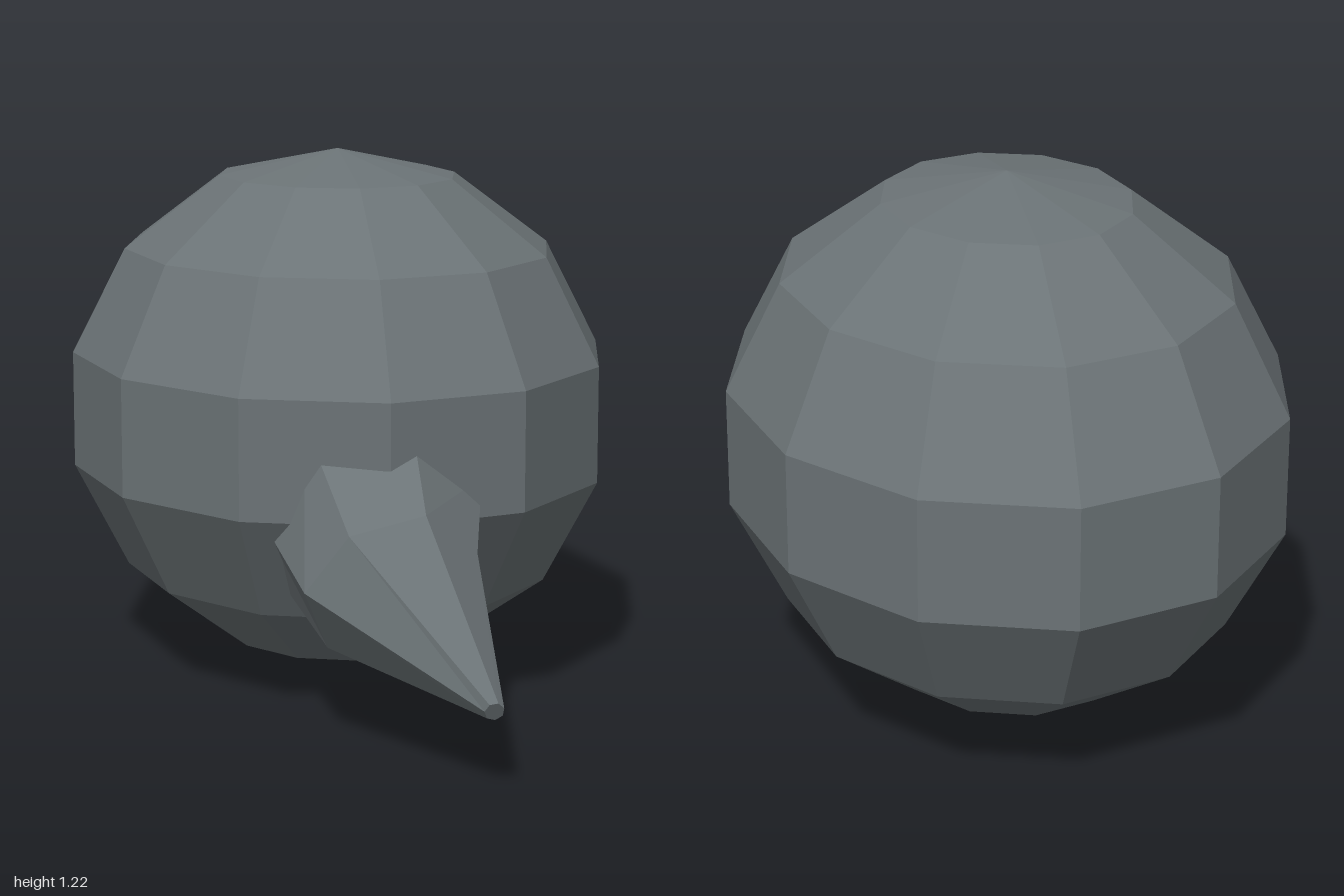
import * as THREE from 'three';

// Skin a list of equal-length rings (counter-clockwise seen from +z, back to front) and cap both ends.
function loftRings(rings) {
  const positions = [];
  const tri = (...corners) => corners.forEach((p) => positions.push(...p));
  const centre = (ring) => [0, 1, 2].map((k) => ring.reduce((sum, p) => sum + p[k], 0) / ring.length);
  const n = rings[0].length;
  const back = rings[0];
  const front = rings[rings.length - 1];
  for (let i = 0; i < n; i++) {
    const j = (i + 1) % n;
    for (let r = 0; r < rings.length - 1; r++) {
      const a = rings[r];
      const b = rings[r + 1];
      tri(a[i], a[j], b[j]);
      tri(a[i], b[j], b[i]);
    }
    tri(centre(back), back[j], back[i]);
    tri(centre(front), front[i], front[j]);
  }
  const geometry = new THREE.BufferGeometry();
  geometry.setAttribute('position', new THREE.Float32BufferAttribute(positions, 3));
  geometry.computeVertexNormals();
  return geometry;
}

export function createModel() {
  const group = new THREE.Group();
  const material = new THREE.MeshStandardMaterial({ color: 0x6b7376, flatShading: true });

  // Faceted egg-shaped body: twelve sides, seven bands
  const bodyGeometry = new THREE.SphereGeometry(1, 12, 7);
  bodyGeometry.scale(0.651, 0.612, 0.808);
  bodyGeometry.translate(0, 0.614, -0.2125);
  const body = new THREE.Mesh(bodyGeometry, material);
  body.name = 'body';
  group.add(body);

  // Crooked seven-sided spike: root sunk into the body, shoulder, then a narrow tip
  const root = [
    [0.232, 0.34, 0.316], [0.229, 0.55, 0.424], [0.063, 0.69, 0.468], [-0.166, 0.682, 0.423],
    [-0.26, 0.465, 0.365], [-0.217, 0.318, 0.31], [0.065, 0.223, 0.315],
  ];
  const shoulder = [
    [0.165, 0.28, 0.58], [0.178, 0.43, 0.64], [0.055, 0.53, 0.7], [-0.11, 0.49, 0.7],
    [-0.2, 0.36, 0.66], [-0.14, 0.22, 0.59], [0.05, 0.185, 0.57],
  ];
  const tip = shoulder.map((_, i) => {
    const angle = -0.51 + (i / shoulder.length) * Math.PI * 2;
    const dy = 0.021 * Math.sin(angle);
    return [0.147 + 0.021 * Math.cos(angle), 0.18 + dy, 0.99 + dy * 0.5];
  });
  const spike = new THREE.Mesh(loftRings([root, shoulder, tip]), material);
  spike.name = 'spike';
  group.add(spike);

  return group;
}
